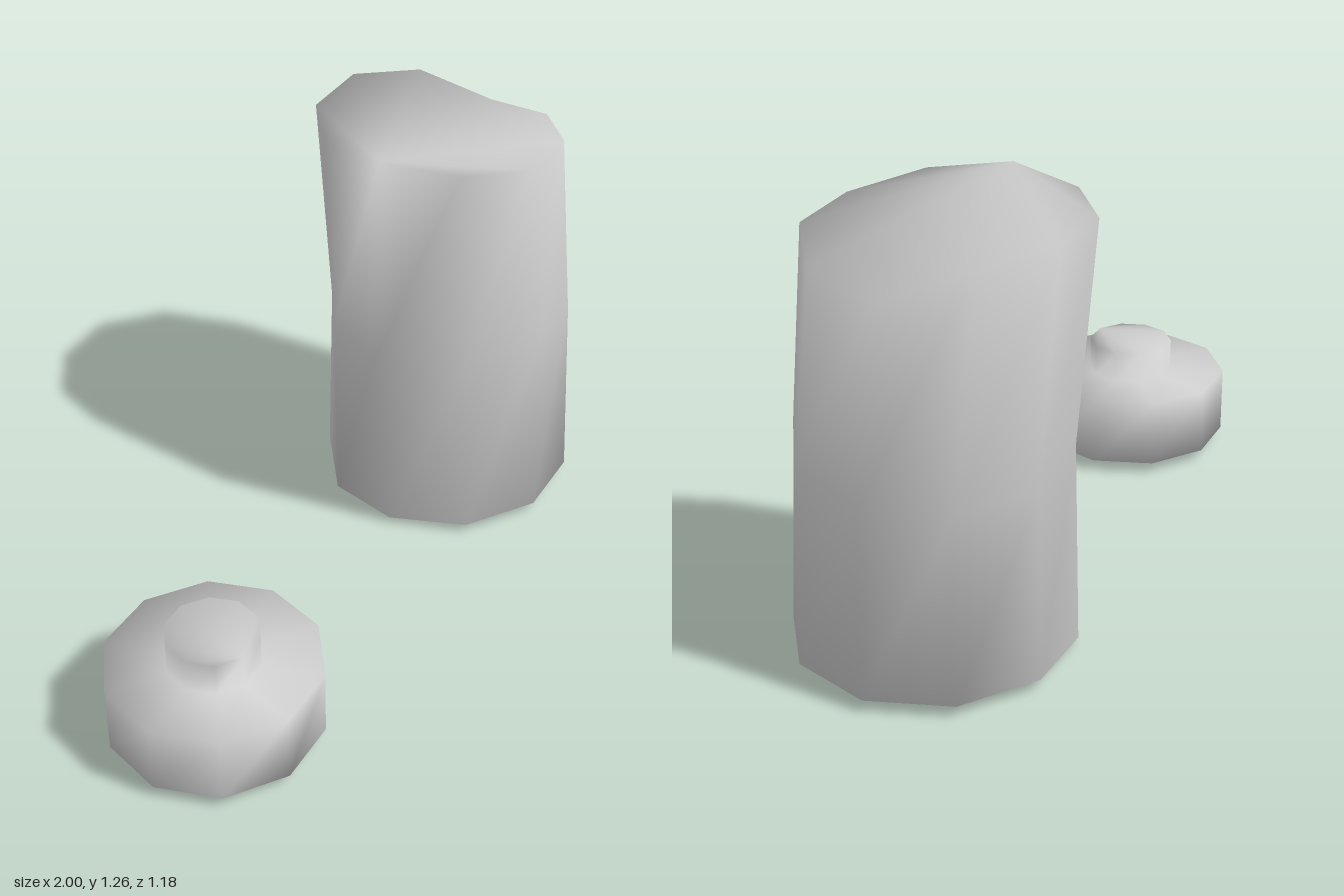
import * as THREE from 'three';

const SIDES = 10;
const material = new THREE.MeshStandardMaterial({ color: 0xcccccc });

// Ten-sided ring; y is one height or a list with one height per corner,
// counted from the front corner towards +x. shift moves single corners.
function ring(cx, cz, r, y, shift = {}) {
  return Array.from({ length: SIDES }, (_, k) => {
    const a = (k / SIDES) * Math.PI * 2;
    const [dx, dz] = shift[k] ?? [0, 0];
    return [cx + r * Math.sin(a) + dx, Array.isArray(y) ? y[k] : y, cz + r * Math.cos(a) + dz];
  });
}

// Closed skin through the rings, with fan caps and shared smooth normals
function loft(name, rings, topCorner = 0, bottomCorner = 0) {
  const index = [];
  for (let i = 0; i < rings.length - 1; i++) {
    for (let k = 0; k < SIDES; k++) {
      const n = (k + 1) % SIDES;
      const a = i * SIDES + k, b = i * SIDES + n;
      index.push(a, b, b + SIDES, a, b + SIDES, a + SIDES);
    }
  }
  const top = (rings.length - 1) * SIDES;
  for (let k = 1; k < SIDES - 1; k++) {
    const at = (start, j) => (start + j) % SIDES;
    index.push(top + topCorner, top + at(topCorner, k), top + at(topCorner, k + 1));
    index.push(bottomCorner, at(bottomCorner, k + 1), at(bottomCorner, k));
  }
  const geometry = new THREE.BufferGeometry();
  geometry.setAttribute('position', new THREE.Float32BufferAttribute(rings.flat(2), 3));
  geometry.setIndex(index);
  geometry.computeVertexNormals();
  const mesh = new THREE.Mesh(geometry, material);
  mesh.name = name;
  return mesh;
}

export function createModel() {
  const model = new THREE.Group();
  model.name = 'columnAndPot';

  // Tall, slightly bent column with an uneven top and base
  model.add(loft('tallColumn', [
    ring(0.62, -0.145, 0.395,
      [0.035, 0.035, 0.035, 0.035, 0.035, 0.035, 0.02, 0, 0.018, 0.028]),
    ring(0.605, -0.148, 0.373,
      [0.66, 0.64, 0.61, 0.59, 0.57, 0.57, 0.6, 0.64, 0.66, 0.66],
      { 0: [0.015, 0], 2: [0.015, 0], 3: [0.015, 0], 7: [-0.025, 0], 8: [-0.065, -0.005], 9: [-0.02, 0.005] }),
    ring(0.605, -0.22, 0.372,
      [1.205, 1.195, 1.165, 1.13, 1.21, 1.24, 1.235, 1.24, 1.26, 1.235]),
  ], 8, 7));

  // Low round pot with a short neck
  model.add(loft('lowPot', [
    ring(-0.705, 0.275, 0.31, 0.035),
    ring(-0.705, 0.275, 0.31, 0.245),
    ring(-0.705, 0.275, 0.134, 0.245),
    ring(-0.705, 0.275, 0.134, 0.345),
  ]));

  return model;
}
